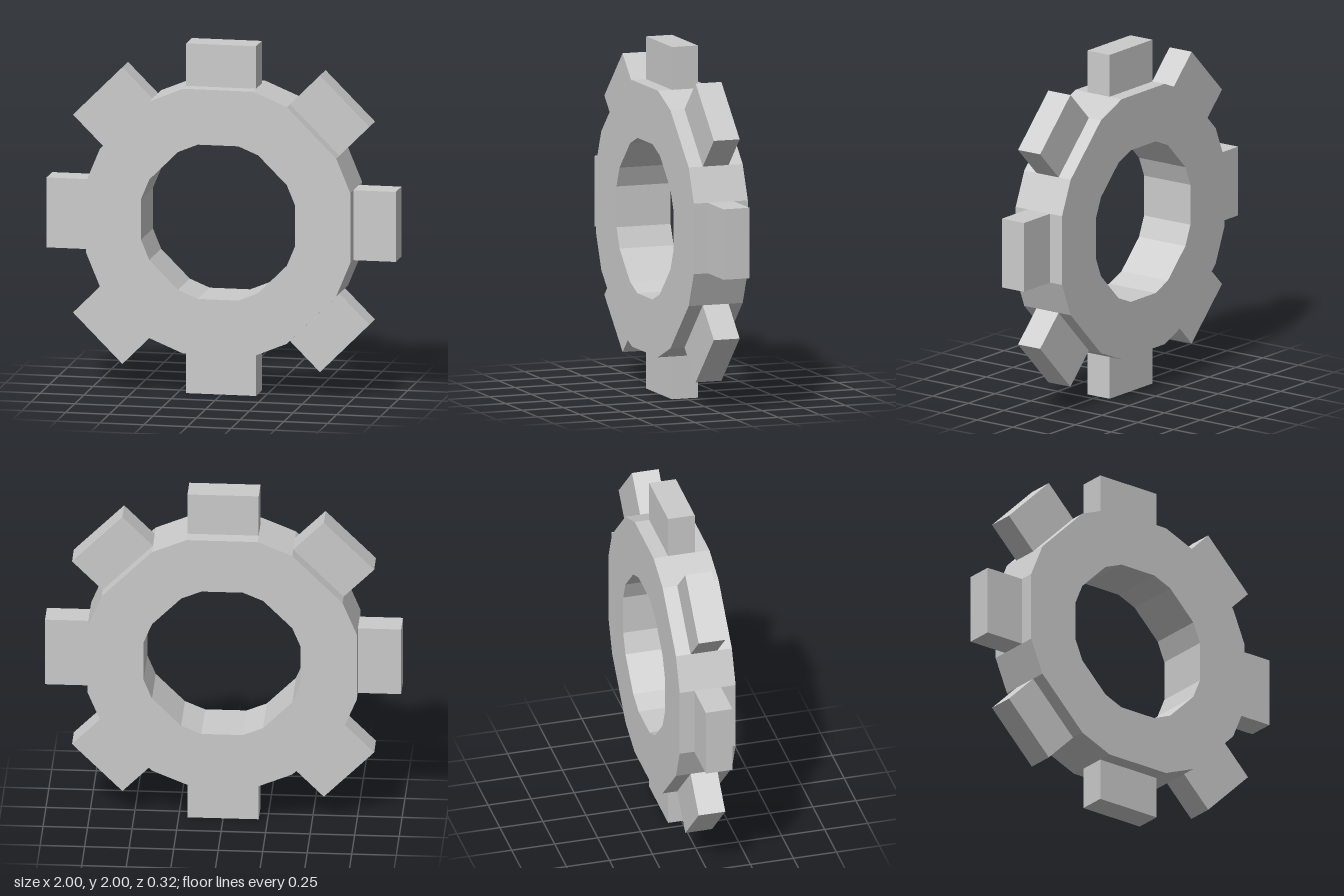
import * as THREE from 'three';

const TEETH = 8;
const HALF_WIDTH = 0.2;    // half the width of a tooth
const ROOT = 0.757;        // distance from centre to the tooth seats
const TIP = 1.0;           // distance from centre to the tooth tips
const BORE = 0.441;        // distance from centre to the bore flats
const BORE_HALF = 0.116;   // half the width of a bore flat

// Polygon with one flat per tooth, joined by shorter or longer bevels
function flatsPolygon(distance, half) {
  const points = [];
  for (let i = 0; i < TEETH; i++) {
    const angle = (i / TEETH) * Math.PI * 2;
    for (const side of [-half, half]) {
      points.push(new THREE.Vector2(distance, side).rotateAround(new THREE.Vector2(), angle));
    }
  }
  return points;
}

export function createModel() {
  const model = new THREE.Group();
  model.name = 'gear';
  const material = new THREE.MeshStandardMaterial({ color: 0xcccccc, flatShading: true });

  const wheel = new THREE.Group();
  wheel.name = 'wheel';
  wheel.position.y = 1;
  model.add(wheel);

  // Thick ring with a faceted bore
  const depth = 0.325;
  const shape = new THREE.Shape(flatsPolygon(ROOT, HALF_WIDTH));
  shape.holes.push(new THREE.Path(flatsPolygon(BORE, BORE_HALF)));
  const ringGeometry = new THREE.ExtrudeGeometry(shape, { depth, bevelEnabled: false });
  ringGeometry.translate(0, 0, -depth / 2);
  const ring = new THREE.Mesh(ringGeometry, material);
  ring.name = 'ring';
  wheel.add(ring);

  // Thinner block teeth, one on each flat
  const toothGeometry = new THREE.BoxGeometry(TIP - ROOT, HALF_WIDTH * 2, 0.155);
  toothGeometry.translate((TIP + ROOT) / 2, 0, 0);
  for (let i = 0; i < TEETH; i++) {
    const tooth = new THREE.Mesh(toothGeometry, material);
    tooth.name = `tooth${i + 1}`;
    tooth.rotation.z = (i / TEETH) * Math.PI * 2;
    wheel.add(tooth);
  }

  return model;
}
